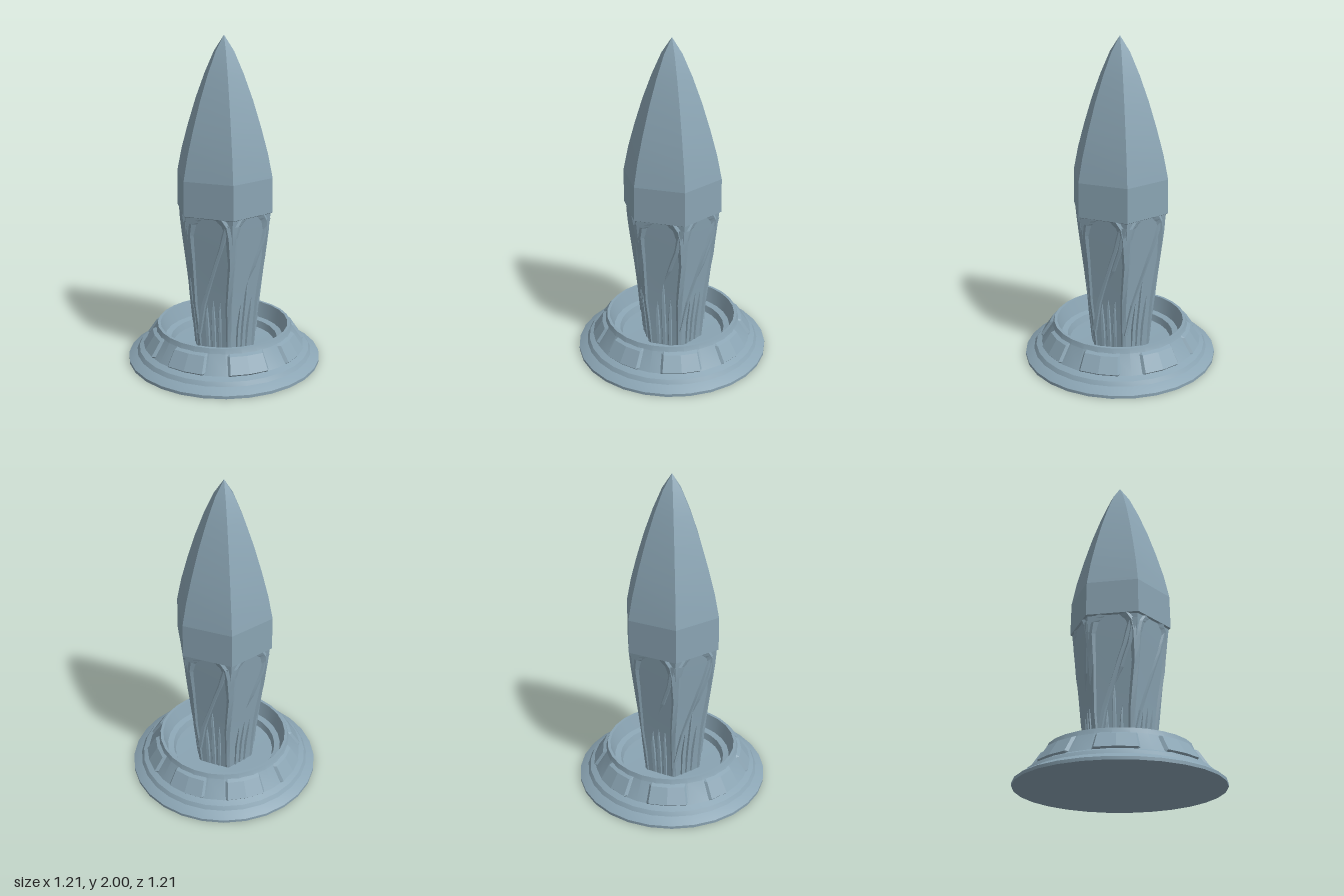
import * as THREE from 'three';
import { toCreasedNormals } from 'three/addons/utils/BufferGeometryUtils.js';

const stone = new THREE.MeshStandardMaterial({ color: 0x8aa4b3 });
stone.name = 'blueGreyStone';
const rad = THREE.MathUtils.degToRad;

function add(parent, name, geometry, crease) {
  const mesh = new THREE.Mesh(toCreasedNormals(geometry, crease), stone);
  mesh.name = name;
  parent.add(mesh);
  return mesh;
}

function lathe(profile, sides) {
  return new THREE.LatheGeometry(profile.map(([r, y]) => new THREE.Vector2(r, y)), sides);
}

// Angle is in degrees from the front, turning towards +x
function polar(angle, r, y) {
  return [Math.sin(rad(angle)) * r, y, Math.cos(rad(angle)) * r];
}

// Surface through rows of points: rows climb, columns turn towards +x
function loft(rows) {
  const n = rows[0].length, index = [];
  for (let i = 0; i < rows.length - 1; i++) {
    for (let j = 0; j < n - 1; j++) {
      const a = i * n + j, b = a + 1, c = b + n, d = a + n;
      index.push(a, b, c, a, c, d);
    }
  }
  const g = new THREE.BufferGeometry();
  g.setAttribute('position', new THREE.Float32BufferAttribute(rows.flat(2), 3));
  g.setIndex(index);
  return g;
}

// Radius of the six-sided shaft at its corners, by height
const SHAFT = [[0.195, 0.05], [0.208, 0.225], [0.238, 0.5], [0.278, 0.8], [0.297, 0.965]];
function shaftRadius(y) {
  let i = 1;
  while (i < SHAFT.length - 1 && y > SHAFT[i][1]) i++;
  const [r0, y0] = SHAFT[i - 1], [r1, y1] = SHAFT[i];
  return r0 + (r1 - r0) * (y - y0) / (y1 - y0);
}

// Point on the shaft surface, raised by lift
function onShaft(angle, y, lift) {
  const local = ((angle % 60) + 60) % 60 - 30;
  const r = shaftRadius(y) * Math.cos(rad(30)) / Math.cos(rad(local));
  return polar(angle, r + lift, y);
}

// Faceted ridge following [angle, y, half width in degrees, lift]
function ridge(turn, path) {
  const fine = [];
  path.forEach((p, i) => {
    if (i) fine.push(p.map((v, k) => (v + path[i - 1][k]) / 2));
    fine.push(p);
  });
  return loft(fine.map(([a, y, w, lift]) => [
    onShaft(turn + a - w, y, -0.006),
    onShaft(turn + a - w * 0.45, y, lift),
    onShaft(turn + a + w * 0.45, y, lift * 0.7),
    onShaft(turn + a + w, y, -0.006),
  ]));
}

function createBase() {
  const base = new THREE.Group();
  base.name = 'base';
  add(base, 'dish', lathe([
    [0, 0], [0.603, 0], [0.603, 0.018], [0.575, 0.035], [0.55, 0.048], [0.535, 0.072],
    [0.5, 0.088], [0.428, 0.195], [0.418, 0.225], [0.4, 0.225], [0.372, 0.13],
    [0.335, 0.122], [0.322, 0.08], [0, 0.07],
  ], 28), 0.3);

  // Bevelled blocks standing proud of the sloping side
  const rows = [[0.503, 0.082, 0], [0.497, 0.098, 1], [0.438, 0.186, 1], [0.426, 0.2, 0]];
  const columns = [[-15, 0], [-13, 1], [0, 1], [13, 1], [15, 0]];
  for (let k = 0; k < 8; k++) {
    const turn = 22.5 + k * 45;
    add(base, 'sideBlock', loft(rows.map(([r, y, up]) => columns.map(([a, out]) =>
      polar(turn + a, r - 0.008 + 0.02 * up * out, y)))), 0.1);
  }
  return base;
}

function createShaft() {
  const shaft = new THREE.Group();
  shaft.name = 'shaft';
  add(shaft, 'core', lathe(SHAFT, 6), 0.3);

  for (let k = 0; k < 6; k++) {
    const turn = k * 60, s = k % 2 ? 1 : 0.8;
    // Corner ridge flaring into the arches under the crystal
    add(shaft, 'cornerRidge', ridge(turn, [
      [0, 0.08, 7, 0.006], [-2, 0.4, 7, 0.01], [1, 0.68, 7, 0.012],
      [0, 0.85, 10, 0.013], [0, 0.92, 16, 0.013], [0, 0.965, 29, 0.012],
    ]), 0.1);
    // Low pointed shards
    for (const [a, top, w] of [[18, 0.4, 5], [30, 0.54 * s, 6], [42, 0.43, 5]]) {
      add(shaft, 'lowShard', ridge(turn, [
        [a, 0.08, w, 0.008], [a, 0.25, w, 0.012], [a + 1, top - 0.06, w * 0.5, 0.01], [a + 2, top, 0.2, 0.002],
      ]), 0.1);
    }
  }

  // Slanting roots climbing across the faces
  for (const turn of [0, 120, 180, 300]) {
    add(shaft, 'longRoot', ridge(turn, [
      [2, 0.2, 5, 0.01], [14, 0.4, 5, 0.013], [32, 0.6, 4, 0.014], [46, 0.78, 4, 0.012], [54, 0.93, 5, 0.008],
    ]), 0.1);
    add(shaft, 'shortRoot', ridge(turn - 30, [
      [3, 0.55, 0.5, 0.002], [12, 0.64, 4, 0.012], [22, 0.78, 4, 0.013], [27, 0.93, 5, 0.01],
    ]), 0.1);
  }
  return shaft;
}

function createCrystal() {
  const crystal = new THREE.Group();
  crystal.name = 'crystal';
  add(crystal, 'collar', lathe([[0.27, 0.945], [0.309, 0.965], [0.306, 1.175]], 6), 0.3);
  add(crystal, 'point', lathe([
    [0.306, 1.175], [0.275, 1.32], [0.232, 1.47], [0.18, 1.63], [0.122, 1.78], [0.062, 1.91], [0, 2],
  ], 6), 0.3);
  return crystal;
}

export function createModel() {
  const model = new THREE.Group();
  model.name = 'crystalOnPedestal';
  model.add(createBase(), createShaft(), createCrystal());
  return model;
}
